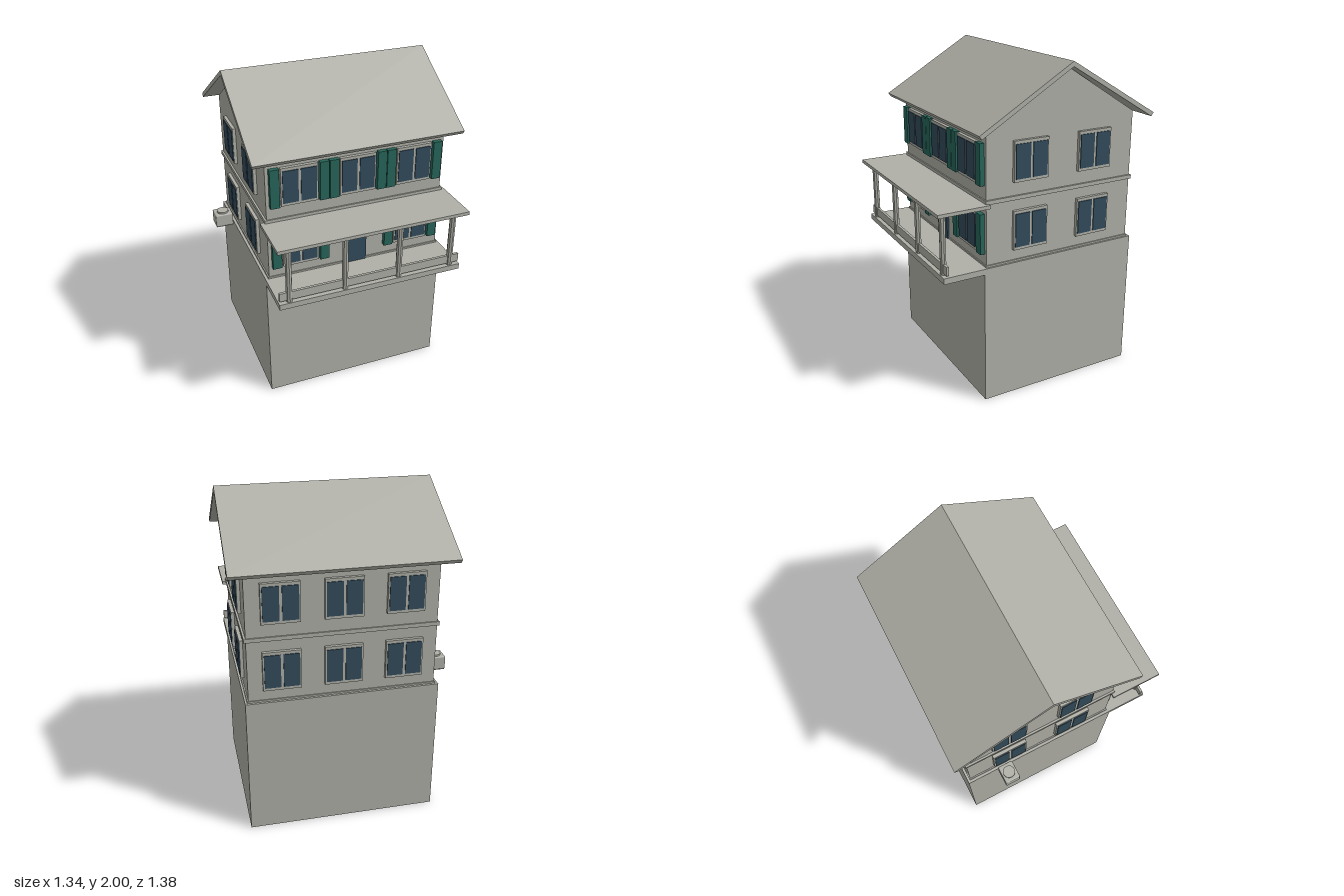
import * as THREE from 'three';
import { RoundedBoxGeometry } from 'three/addons/geometries/RoundedBoxGeometry.js';

const stone = new THREE.MeshStandardMaterial({ color: 0xb0b0a8 });
stone.name = 'warm grey';
const glass = new THREE.MeshStandardMaterial({ color: 0x324b5b });
glass.name = 'slate blue';
const green = new THREE.MeshStandardMaterial({ color: 0x27665a });
green.name = 'shutter green';

const CX = 0.03, CZ = -0.112;   // centre of the house body
const X0 = -0.525, X1 = 0.585;  // side walls
const Z0 = -0.605, Z1 = 0.381;  // back and front walls

function add(parent, name, geometry, material) {
  const mesh = new THREE.Mesh(geometry, material);
  mesh.name = name;
  parent.add(mesh);
  return mesh;
}

// Box given by its limits on each axis
function block(parent, name, material, x0, x1, y0, y1, z0, z1) {
  const mesh = add(parent, name, new THREE.BoxGeometry(x1 - x0, y1 - y0, z1 - z0), material);
  mesh.position.set((x0 + x1) / 2, (y0 + y1) / 2, (z0 + z1) / 2);
  return mesh;
}

// Outline of [z, y] points extruded along x
function prism(parent, name, material, points, x0, x1) {
  const shape = new THREE.Shape(points.map(([z, y]) => new THREE.Vector2(-z, y)));
  const geometry = new THREE.ExtrudeGeometry(shape, { depth: x1 - x0, bevelEnabled: false });
  geometry.rotateY(Math.PI / 2).translate(x0, 0, 0);
  return add(parent, name, geometry, material);
}

// Window facing +z with its back on z = 0
function makeWindow(shutters) {
  const group = new THREE.Group();
  group.name = 'window';
  block(group, 'windowFrame', stone, -0.111, 0.111, -0.119, 0.119, -0.005, 0.02);
  for (const s of [-1, 1]) {
    const pane = block(group, 'windowPane', glass, -0.047, 0.047, -0.101, 0.101, 0.018, 0.025);
    pane.position.x = s * 0.055;
    if (shutters) {
      const shutter = block(group, 'shutter', green, -0.028, 0.028, -0.121, 0.121, -0.005, 0.028);
      shutter.position.x = s * 0.149;
    }
  }
  return group;
}

export function createModel() {
  const model = new THREE.Group();
  model.name = 'house';

  // Foundation and body
  block(model, 'foundation', stone, -0.55, 0.605, 0, 0.862, -0.625, 0.402);
  prism(model, 'walls', stone,
    [[Z1, 0.86], [Z1, 1.66], [CZ, 1.97], [Z0, 1.66], [Z0, 0.86]], X0, X1);
  block(model, 'baseTrim', stone, X0 - 0.008, X1 + 0.008, 0.86, 0.873, Z0 - 0.006, Z1 + 0.006);
  block(model, 'floorBand', stone, X0 - 0.012, X1 + 0.012, 1.24, 1.264, Z0 - 0.008, Z1 + 0.008);

  // Gabled roof
  prism(model, 'roof', stone,
    [[0.466, 1.657], [CZ, 2], [-0.69, 1.657], [-0.675, 1.635], [CZ, 1.97], [0.451, 1.635]],
    -0.615, 0.672);

  // Windows on both floors, all four sides
  for (const [floor, y] of [[0, 1.057], [1, 1.464]]) {
    for (const i of [-1, 0, 1]) {
      const x = CX + i * 0.358;
      if (floor === 1 || i !== 0) {
        const front = makeWindow(true);
        front.position.set(x, y, Z1);
        model.add(front);
      }
      const back = makeWindow(false);
      back.position.set(x, y, Z0);
      back.rotation.y = Math.PI;
      model.add(back);
    }
    for (const s of [-1, 1]) {
      for (const side of [-1, 1]) {
        const win = makeWindow(false);
        win.position.set(side > 0 ? X1 : X0, y, CZ + s * 0.215);
        win.rotation.y = side * Math.PI / 2;
        model.add(win);
      }
    }
  }

  // Front door
  block(model, 'door', glass, CX - 0.066, CX + 0.066, 0.862, 1.12, Z1 - 0.005, Z1 + 0.012);

  // Porch
  const porch = new THREE.Group();
  porch.name = 'porch';
  model.add(porch);
  block(porch, 'porchFloor', stone, -0.55, 0.605, 0.826, 0.862, 0.4, 0.656);
  block(porch, 'porchRoof', stone, -0.562, 0.618, 1.224, 1.245, 0.37, 0.69);
  block(porch, 'porchRail', stone, -0.545, 0.603, 0.873, 0.927, 0.624, 0.64);
  for (const offset of [-0.515, -0.172, 0.172, 0.515]) {
    const post = add(porch, 'porchPost', new THREE.CylinderGeometry(0.019, 0.019, 0.366, 8).toNonIndexed(), stone);
    post.geometry.computeVertexNormals();
    post.position.set(CX + offset, 1.043, 0.632);
  }

  // Outdoor cooling unit on the right side
  const unit = new THREE.Group();
  unit.name = 'coolingUnit';
  unit.position.set(-0.613, 0.89, -0.373);
  model.add(unit);
  add(unit, 'unitCase', new RoundedBoxGeometry(0.116, 0.086, 0.098, 2, 0.008), stone);
  const cap = add(unit, 'unitFanCap', new THREE.CylinderGeometry(0.038, 0.038, 0.012, 24), stone);
  cap.position.y = 0.048;
  const base = add(unit, 'unitBase', new THREE.BoxGeometry(0.106, 0.008, 0.09), stone);
  base.position.y = -0.042;

  return model;
}
